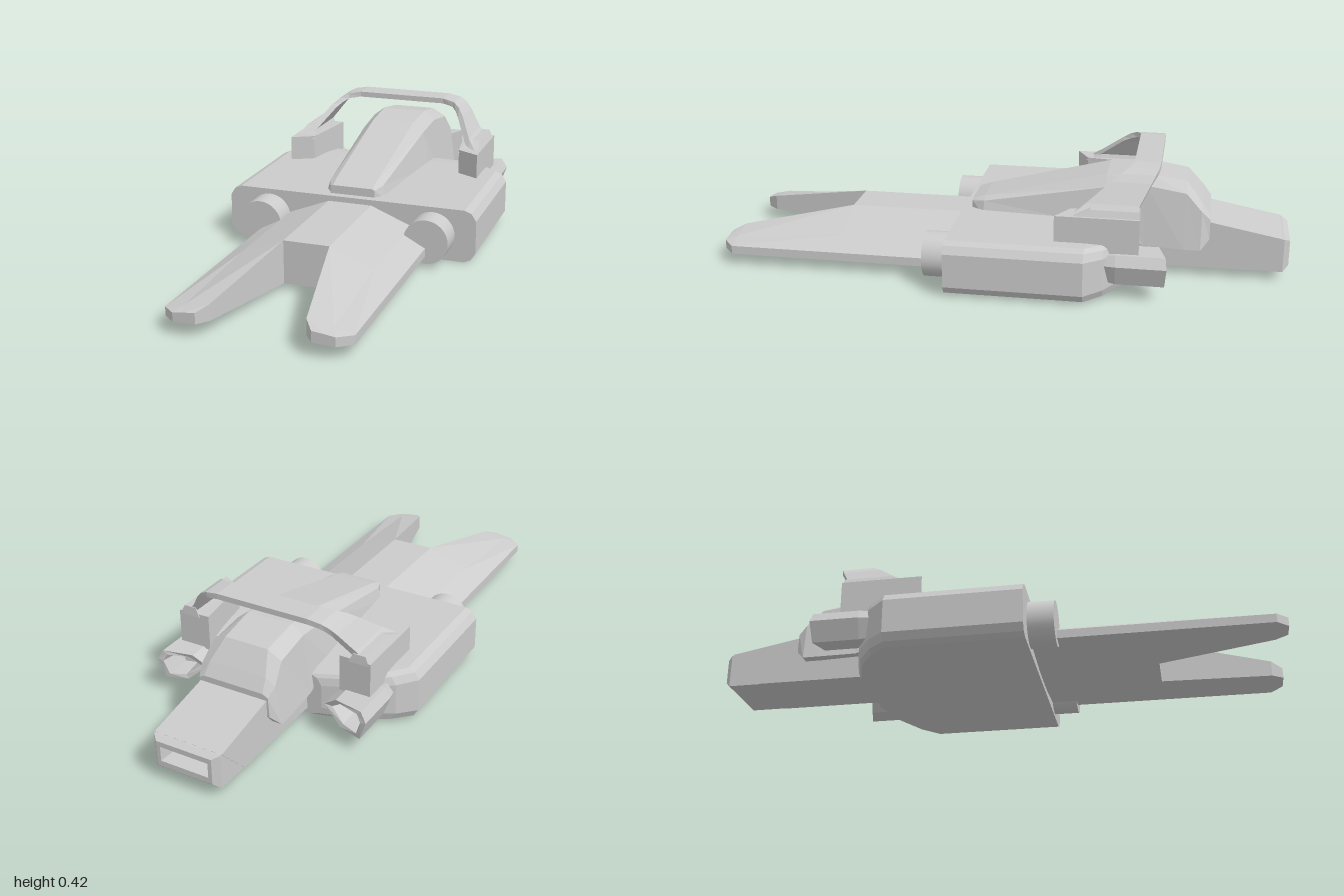
import * as THREE from 'three';

const material = new THREE.MeshStandardMaterial({ color: 0xcccccc, flatShading: true });

// Closed solid through a row of matching convex outlines of [x, y, z] points
function loft(rings) {
  const n = rings[0].length, tris = [];
  for (let i = 0; i < rings.length - 1; i++) {
    for (let j = 0; j < n; j++) {
      const a = rings[i][j], b = rings[i][(j + 1) % n];
      const c = rings[i + 1][(j + 1) % n], d = rings[i + 1][j];
      tris.push([a, b, c], [a, c, d]);
    }
  }
  const first = rings[0], last = rings[rings.length - 1];
  for (let j = 1; j < n - 1; j++) {
    tris.push([first[0], first[j + 1], first[j]], [last[0], last[j], last[j + 1]]);
  }
  // Turn the faces outward if the enclosed volume comes out negative
  let volume = 0;
  for (const [a, b, c] of tris) {
    volume += new THREE.Vector3(...a).dot(new THREE.Vector3(...b).cross(new THREE.Vector3(...c)));
  }
  if (volume < 0) tris.forEach((t) => t.reverse());
  const geometry = new THREE.BufferGeometry();
  geometry.setAttribute('position', new THREE.Float32BufferAttribute(tris.flat(2), 3));
  geometry.computeVertexNormals();
  return geometry;
}

// Outline at depth z; the symmetric version mirrors a right half listed top to bottom
const at = (z, pts) => pts.map(([x, y]) => [x, y, z]);
const symmetric = (z, half) =>
  at(z, [...half, ...half.slice().reverse().map(([x, y]) => [-x, y])]);
const box = (z, x0, x1, y0, y1) => at(z, [[x0, y0], [x1, y0], [x1, y1], [x0, y1]]);
const flip = (rings, s) => rings.map((r) => r.map(([x, y, z]) => [s * x, y, z]));

export function createModel() {
  const model = new THREE.Group();
  const add = (name, geometry) => {
    const mesh = new THREE.Mesh(geometry, material);
    mesh.name = name;
    model.add(mesh);
    return mesh;
  };

  // Wide hull with chamfered edges and a rounded stern: z, half width, bottom, top
  const hull = [
    [0.15, 0.46, 0, 0.19], [-0.32, 0.46, 0, 0.19], [-0.38, 0.405, 0.003, 0.187],
    [-0.44, 0.31, 0.008, 0.18], [-0.48, 0.18, 0.012, 0.17],
  ];
  add('hull', loft(hull.map(([z, w, b, t]) => symmetric(z, [
    [w - 0.042, t], [w - 0.017, t - 0.01], [w, t - 0.036],
    [w, b + 0.036], [w - 0.017, b + 0.01], [w - 0.042, b],
  ]))));

  // Middle of the flat nose
  add('noseCentre', loft([box(0.1, -0.08, 0.08, 0.02, 0.17), box(0.565, -0.08, 0.08, 0.02, 0.17)]));

  // Cockpit: z, then [x, y] of roof edge, shoulder and base
  const canopy = [
    [0.12, [0.075, 0.22], [0.082, 0.215], [0.085, 0.17]],
    [0.075, [0.075, 0.235], [0.1, 0.222], [0.115, 0.17]],
    [-0.36, [0.08, 0.342], [0.12, 0.305], [0.147, 0.17]],
    [-0.5, [0.083, 0.353], [0.125, 0.32], [0.152, 0.11]],
    [-0.64, [0.08, 0.33], [0.13, 0.3], [0.16, 0.105]],
    [-0.695, [0.105, 0.262], [0.14, 0.24], [0.16, 0.105]],
    [-0.725, [0.11, 0.22], [0.13, 0.21], [0.135, 0.14]],
  ];
  add('canopy', loft(canopy.map(([z, ...half]) => symmetric(z, half))));

  // Tail boom with a slanted end
  const boom = [[-0.42, 0.03], [-0.86, 0.03], [-0.975, 0.152], [-0.72, 0.2], [-0.42, 0.2]];
  add('tailBoom', loft([-0.125, 0.125].map((x) => boom.map(([z, y]) => [x, y, z]))));

  // Slotted exhaust at the end of the tail
  add('tailExhaust', loft([
    box(-0.8, -0.122, 0.122, 0.03, 0.15),
    box(-0.98, -0.122, 0.122, 0.03, 0.15),
    box(-1.0, -0.102, 0.102, 0.05, 0.14),
    box(-1.0, -0.088, 0.088, 0.07, 0.122),
    box(-0.94, -0.075, 0.075, 0.08, 0.115),
  ]));

  // Roll bar: half path of x, y, front z, rear z, and the outward slope of its thickness
  const bar = [
    [0.335, 0.275, -0.27, -0.48, 0.022, 0.01], [0.305, 0.305, -0.31, -0.49, 0.018, 0.012],
    [0.258, 0.37, -0.39, -0.525, 0.017, 0.011], [0.238, 0.39, -0.42, -0.537, 0.012, 0.016],
    [0.215, 0.403, -0.445, -0.546, 0.006, 0.018], [0.17, 0.41, -0.46, -0.55, 0, 0.02],
  ];
  const barRing = (s) => ([x, y, f, b, dx, dy]) => [
    [s * (x + dx / 2), y + dy / 2, f], [s * (x + dx / 2), y + dy / 2, b],
    [s * (x - dx / 2), y - dy / 2, b], [s * (x - dx / 2), y - dy / 2, f],
  ];
  add('rollBar', loft([...bar.map(barRing(1)), ...bar.slice().reverse().map(barRing(-1))]));

  for (const s of [1, -1]) {
    const side = s > 0 ? 'left' : 'right';

    // Nose prong: thick inner edge, thin outer edge, blunt tip
    const prong = [
      [0.1, [0.08, 0.17], [0.23, 0.11], [0.305, 0.07], [0.305, 0.04], [0.08, 0.02]],
      [0.565, [0.08, 0.17], [0.23, 0.11], [0.305, 0.07], [0.305, 0.04], [0.08, 0.02]],
      [0.955, [0.155, 0.1], [0.24, 0.085], [0.305, 0.07], [0.305, 0.04], [0.155, 0.045]],
      [0.995, [0.185, 0.083], [0.225, 0.079], [0.26, 0.074], [0.26, 0.043], [0.185, 0.046]],
    ];
    add(side + 'NoseProng', loft(flip(prong.map(([z, ...pts]) => at(z, pts)), s)));

    // Round intake at the hull front
    const intake = add(side + 'Intake', new THREE.CylinderGeometry(0.079, 0.079, 0.16, 32));
    intake.material = material.clone();
    intake.material.flatShading = false;
    intake.rotation.x = Math.PI / 2;
    intake.position.set(s * 0.306, 0.093, 0.16);

    // Pod holding the roll bar, with a stepped cap
    const plan = [[0.37, -0.212], [0.29, -0.255], [0.255, -0.49], [0.37, -0.495]];
    add(side + 'Pod', loft(flip([0.15, 0.28].map((y) => plan.map(([x, z]) => [x, y, z])), s)));
    const cap = (y, x0, x1, z0, z1) => [[x0, y, z0], [x1, y, z0], [x1, y, z1], [x0, y, z1]];
    add(side + 'PodCap', loft(flip([
      cap(0.27, 0.29, 0.365, -0.25, -0.495), cap(0.302, 0.305, 0.35, -0.33, -0.492),
    ], s)));

    // Flared hollow thruster behind the hull
    const mouth = [[0.405, 0.125], [0.385, 0.16], [0.28, 0.157], [0.23, 0.12], [0.3, 0.06], [0.38, 0.055]];
    const thruster = (z, k, skew) => mouth.map(([x, y]) => [
      0.33 + (x - 0.33) * k, 0.112 + (y - 0.112) * k, z + skew * (0.405 - x),
    ]);
    add(side + 'Thruster', loft(flip([
      thruster(-0.34, 0.8, 0), thruster(-0.42, 1, 0), thruster(-0.59, 1, 0.25),
      thruster(-0.588, 0.72, 0.25), thruster(-0.5, 0.55, 0.1),
    ], s)));
  }
  return model;
}
